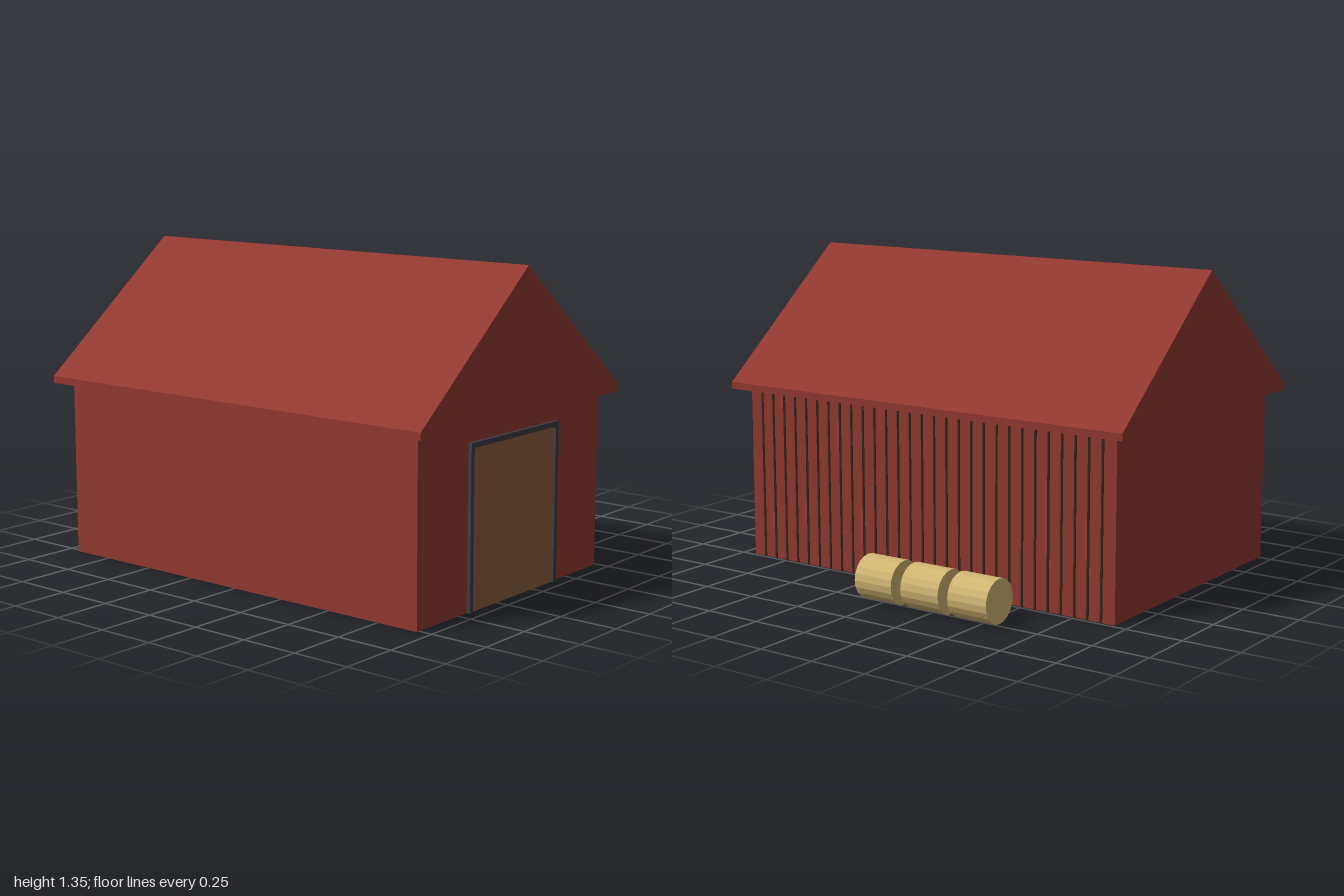
import * as THREE from 'three';

function material(name, color, flatShading = false) {
  const m = new THREE.MeshStandardMaterial({ color, flatShading });
  m.name = name;
  return m;
}

// Extrudes a (z, y) outline along x, from x0 to x1
function extrudeAlongX(points, x0, x1, holePoints) {
  const flip = (list) => list.map(([z, y]) => new THREE.Vector2(-z, y));
  const shape = new THREE.Shape(flip(points));
  if (holePoints) shape.holes.push(new THREE.Path(flip(holePoints)));
  const geometry = new THREE.ExtrudeGeometry(shape, { depth: x1 - x0, bevelEnabled: false });
  return geometry.rotateY(Math.PI / 2).translate(x0, 0, 0);
}

export function createModel() {
  const barn = new THREE.Group();
  barn.name = 'barn';

  const red = material('barn red', 0x903830);
  const brown = material('door brown', 0x8a5e3b);
  const iron = material('frame grey', 0x3c3c42);
  const dark = material('plank gap dark', 0x2e2418);
  const hay = material('hay', 0xd0b672, true);

  const add = (name, geometry, mat, x = 0, y = 0, z = 0, parent = barn) => {
    const mesh = new THREE.Mesh(geometry, mat);
    mesh.name = name;
    mesh.position.set(x, y, z);
    parent.add(mesh);
    return mesh;
  };

  const midZ = 0.14;
  const halfX = 0.94;
  const backZ = -0.485;

  // Walls and solid gabled roof with a thin eave
  add('walls', new THREE.BoxGeometry(halfX * 2, 0.757, 1.25), red, 0, 0.3785, midZ);
  add('roof', extrudeAlongX([
    [0.827, 0.755], [0.827, 0.785], [midZ, 1.345], [-0.547, 0.785], [-0.547, 0.755],
  ], -1, 1), red);

  // Door on the left gable, with a frame open at the ground
  add('door', new THREE.BoxGeometry(0.008, 0.665, 0.575), brown, halfX + 0.003, 0.3325, midZ);
  add('doorFrame', extrudeAlongX([
    [0.445, 0], [0.445, 0.68], [-0.163, 0.68], [-0.163, 0],
    [-0.143, 0], [-0.143, 0.65], [-0.135, 0.658],
    [0.417, 0.658], [0.425, 0.65], [0.425, 0],
  ], halfX, 0.956), iron);

  // Dark gaps between the planks of the back wall
  const gaps = new THREE.Group();
  gaps.name = 'plankGaps';
  barn.add(gaps);
  const planks = 30;
  const gapGeometry = new THREE.BoxGeometry(0.01, 0.755, 0.004);
  for (let i = 1; i < planks; i++) {
    const x = -halfX + (i * 2 * halfX) / planks;
    add('plankGap', gapGeometry, dark, x, 0.3775, backZ - 0.001, gaps);
  }

  // Three round hay bales lying in a row behind the barn
  const baleGeometry = new THREE.CylinderGeometry(0.093, 0.093, 0.186, 20).rotateZ(Math.PI / 2);
  for (const x of [-0.47, -0.237, -0.003]) {
    add('hayBale', baleGeometry, hay, x, 0.095, -0.735);
  }

  return barn;
}
